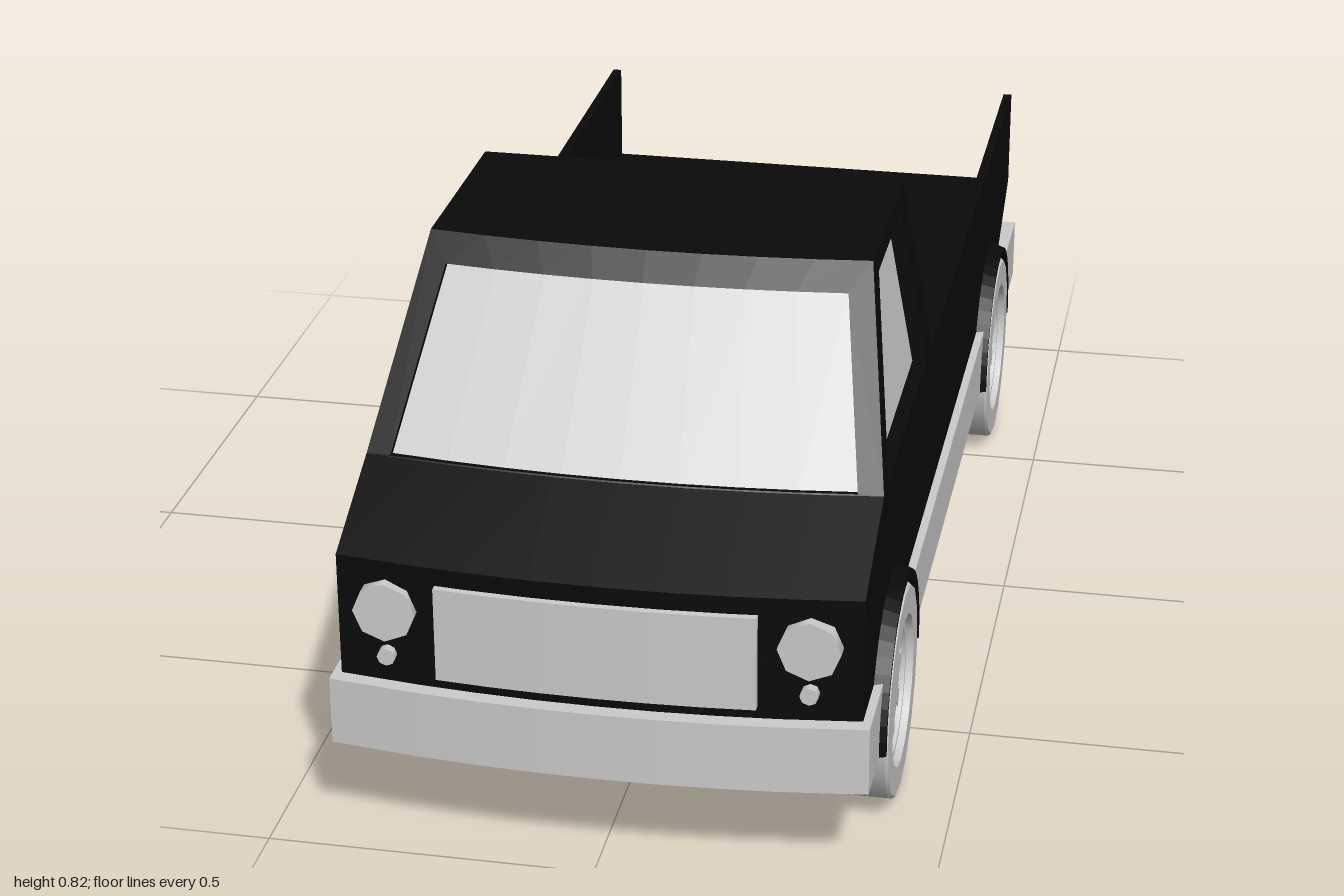
import * as THREE from 'three';

const black = new THREE.MeshStandardMaterial({ color: 0x0a0a0a, side: THREE.DoubleSide });
const grey = new THREE.MeshStandardMaterial({ color: 0xcccccc, side: THREE.DoubleSide });

const AXLES = [-0.625, 0.672];   // rear, front
const AXLE_Y = 0.167, ARCH_R = 0.18, BOW = 0.19;
const HALF = 0.39;               // body half width

function add(parent, name, geometry, material) {
  const mesh = new THREE.Mesh(geometry, material);
  mesh.name = name;
  parent.add(mesh);
  return mesh;
}

// Curves the nose and cab front backwards towards the sides
function bow(geometry) {
  const p = geometry.attributes.position;
  for (let i = 0; i < p.count; i++) {
    if (p.getZ(i) > 0.9 || (p.getY(i) > 0.5 && p.getZ(i) > 0.5)) {
      p.setZ(i, p.getZ(i) - BOW * p.getX(i) ** 2);
    }
  }
  geometry.computeVertexNormals();
  return geometry;
}

// Extrudes a (z, y) side profile across the car from x0 to x1
function slab(shape, x0, x1, steps = 1) {
  const g = new THREE.ExtrudeGeometry(shape, { depth: x1 - x0, bevelEnabled: false, steps, curveSegments: 14 });
  g.rotateY(-Math.PI / 2).translate(x1, 0, 0);
  return bow(g);
}

const polygon = (pts) => new THREE.Shape(pts.map(([z, y]) => new THREE.Vector2(z, y)));
const rect = (z0, z1, y0, y1) => polygon([[z0, y0], [z1, y0], [z1, y1], [z0, y1]]);

// Points on a wheel arch between two heights, on its rear (-1) or front (+1) half
function archEdge(axle, dir, y0, y1) {
  return Array.from({ length: 5 }, (_, i) => {
    const y = y0 + (y1 - y0) * i / 4;
    return [axle + dir * Math.sqrt(ARCH_R ** 2 - (y - AXLE_Y) ** 2), y];
  });
}

// Quads between two or more rows of points
function loft(rows) {
  const pos = [];
  for (let r = 0; r + 1 < rows.length; r++) {
    for (let i = 0; i + 1 < rows[r].length; i++) {
      const [a, b, c, d] = [rows[r][i], rows[r][i + 1], rows[r + 1][i + 1], rows[r + 1][i]];
      pos.push(...a, ...b, ...c, ...a, ...c, ...d);
    }
  }
  const g = new THREE.BufferGeometry();
  g.setAttribute('position', new THREE.Float32BufferAttribute(pos, 3));
  g.computeVertexNormals();
  return g;
}

// Framed window: outer and inner opening given as [bottom row, top row]; glass is set back
function framedWindow(parent, name, outer, inner, setback) {
  const loop = ([bottom, top]) => [...bottom, ...[...top].reverse(), bottom[0]];
  const shift = (row) => row.map((p) => p.map((v, i) => v + setback[i]));
  const glass = inner.map(shift);
  add(parent, name + 'Frame', loft([loop(outer), loop(inner), loop(glass)]), black);
  add(parent, name + 'Glass', loft(glass), grey);
}

function buildBody(car) {
  // Grey skirt and bumpers, interrupted by the wheel wells
  const skirt = new THREE.Group();
  skirt.name = 'skirtAndBumpers';
  car.add(skirt);
  const [rear, front] = AXLES, y0 = 0.16, y1 = 0.268;
  const pieces = [
    [[-1, y1], [-1, y0], ...archEdge(rear, -1, y0, y1)],
    [...archEdge(rear, 1, y1, y0), ...archEdge(front, -1, y0, y1)],
    [...archEdge(front, 1, y1, y0), [0.998, y0], [0.998, y1]],
  ];
  for (const [x0, x1] of [[-0.403, -0.27], [0.27, 0.403]]) {
    pieces.forEach((p) => add(skirt, 'skirtPiece', slab(polygon(p), x0, x1), grey));
  }
  add(skirt, 'underside', slab(rect(-1, 0.998, y0, y1), -0.27, 0.27, 6), grey);

  // Lower body with arches cut into both sides
  const side = new THREE.Shape();
  const a = Math.asin((y1 - AXLE_Y) / ARCH_R);
  side.moveTo(-0.965, y1);
  AXLES.forEach((z) => side.absarc(z, AXLE_Y, ARCH_R, Math.PI - a, a, true));
  side.lineTo(0.974, y1);
  side.lineTo(0.974, 0.37);
  side.lineTo(-0.965, 0.37);
  add(car, 'lowerBodyRight', slab(side, -HALF, -0.27), black);
  add(car, 'lowerBodyLeft', slab(side, 0.27, HALF), black);
  add(car, 'bedFloor', slab(rect(-0.965, 0.974, y1, 0.37), -0.27, 0.27, 6), black);

  // Nose and cab base, then the bed walls
  const nose = polygon([[0.225, 0.37], [0.974, 0.37], [0.974, 0.465], [0.8, 0.545], [0.225, 0.545]]);
  add(car, 'noseAndCabBase', slab(nose, -HALF, HALF, 8), black);
  for (const s of [-1, 1]) {
    const wall = new THREE.BoxGeometry(0.015, 0.175, 1.19);
    add(car, 'bedWall', wall.translate(s * (HALF - 0.0075), 0.4575, -0.37), black);
  }
}

function buildCab(car) {
  const cab = new THREE.Group();
  cab.name = 'cab';
  car.add(cab);
  const Y0 = 0.545, Y1 = 0.825, BACK = 0.225;
  const rise = (y) => (y - Y0) / (Y1 - Y0);
  const width = (y) => HALF - 0.052 * rise(y);
  const frontPoint = (x, y) => [x, y, 0.8 - 0.22 * rise(y) - BOW * x * x];
  const frontRow = (half, y) => Array.from({ length: 9 }, (_, i) => frontPoint(half * (i / 4 - 1), y));

  framedWindow(cab, 'windshield',
    [frontRow(HALF, Y0), frontRow(width(Y1), Y1)],
    [frontRow(0.352, 0.547), frontRow(0.307, 0.785)], [0, -0.004, -0.01]);

  for (const s of [-1, 1]) {
    const at = (z, y) => [s * width(y), y, z];
    const corner = (y) => frontPoint(s * width(y), y);
    framedWindow(cab, 'sideWindow',
      [[corner(Y0), at(BACK, Y0)], [corner(Y1), at(BACK, Y1)]],
      [[at(0.722, 0.547), at(0.295, 0.547)], [at(0.53, 0.798), at(0.295, 0.798)]], [-s * 0.022, 0, 0]);
  }

  const top = frontRow(width(Y1), Y1);
  const backTop = top.map(([x, y]) => [x, y, BACK]);
  const backBottom = top.map(([x]) => [x * HALF / width(Y1), Y0, BACK]);
  add(cab, 'roofAndBackPanel', loft([top, backTop, backBottom]), black);
}

function buildLights(car) {
  const disc = (name, x, y, z, r) => {
    const g = new THREE.CylinderGeometry(r, r, 0.024, 8);
    add(car, name, g.rotateX(Math.PI / 2).translate(x, y, z), grey);
  };
  for (const s of [-1, 1]) {
    disc('headlight', s * 0.314, 0.389, 0.96, 0.047);
    disc('frontIndicator', s * 0.314, 0.314, 0.957, 0.014);
    disc('tailLight', s * 0.343, 0.335, -0.964, 0.028);
    disc('reversingLight', s * 0.285, 0.335, -0.964, 0.02);
  }
  add(car, 'grille', slab(rect(0.94, 0.985, 0.287, 0.437), -0.238, 0.238, 6), grey);
}

// Wheel and arch flare, modelled for the left side around the axle
function buildWheel() {
  const wheel = new THREE.Group();
  wheel.name = 'wheel';
  const ring = [[0.118, 0.287], [0.163, 0.287], [0.167, 0.291], [0.167, 0.408], [0.163, 0.413],
    [0.119, 0.413], [0.114, 0.402], [0.106, 0.402], [0.106, 0.38], [0.118, 0.287]];
  // Separate bands keep the tyre edges sharp
  for (let i = 0; i + 1 < ring.length; i++) {
    const band = new THREE.LatheGeometry([ring[i], ring[i + 1]].map(([r, x]) => new THREE.Vector2(r, x)), 16);
    add(wheel, 'tyreAndRim', band.rotateZ(-Math.PI / 2), grey);
  }
  // Hub disc with a ring of slots
  const hub = new THREE.Shape().absarc(0, 0, 0.108, 0, Math.PI * 2);
  for (let i = 0; i < 10; i++) {
    const a = (i + 0.2) * Math.PI / 5, b = (i + 0.8) * Math.PI / 5;
    const slot = new THREE.Path();
    slot.absarc(0, 0, 0.103, a, b, false);
    slot.absarc(0, 0, 0.085, b, a, true);
    slot.closePath();
    hub.holes.push(slot);
  }
  const disc = new THREE.ExtrudeGeometry(hub, { depth: 0.012, bevelEnabled: false, curveSegments: 8 });
  add(wheel, 'hubDisc', disc.rotateY(Math.PI / 2).translate(0.384, 0, 0), grey);

  // Flare tapering towards its outer edge
  const arch = new THREE.Shape();
  arch.absarc(0, 0, 0.199, -0.04, Math.PI + 0.04, false);
  arch.absarc(0, 0, 0.178, Math.PI + 0.04, -0.04, true);
  const flare = new THREE.ExtrudeGeometry(arch, { depth: 0.033, bevelEnabled: false, curveSegments: 12 });
  flare.rotateY(Math.PI / 2).translate(0.38, 0, 0);
  const p = flare.attributes.position;
  for (let i = 0; i < p.count; i++) {
    const r = Math.hypot(p.getY(i), p.getZ(i));
    if (p.getX(i) > 0.4 && r > 0.19) p.setXYZ(i, p.getX(i), p.getY(i) * 0.186 / r, p.getZ(i) * 0.186 / r);
  }
  flare.computeVertexNormals();
  add(wheel, 'archFlare', flare, black);
  return wheel;
}

export function createModel() {
  const car = new THREE.Group();
  car.name = 'pickupTruck';
  buildBody(car);
  buildCab(car);
  buildLights(car);
  for (const z of AXLES) {
    for (const turn of [0, Math.PI]) {
      const wheel = buildWheel();
      wheel.position.set(0, AXLE_Y, z);
      wheel.rotation.y = turn;
      car.add(wheel);
    }
  }
  return car;
}
